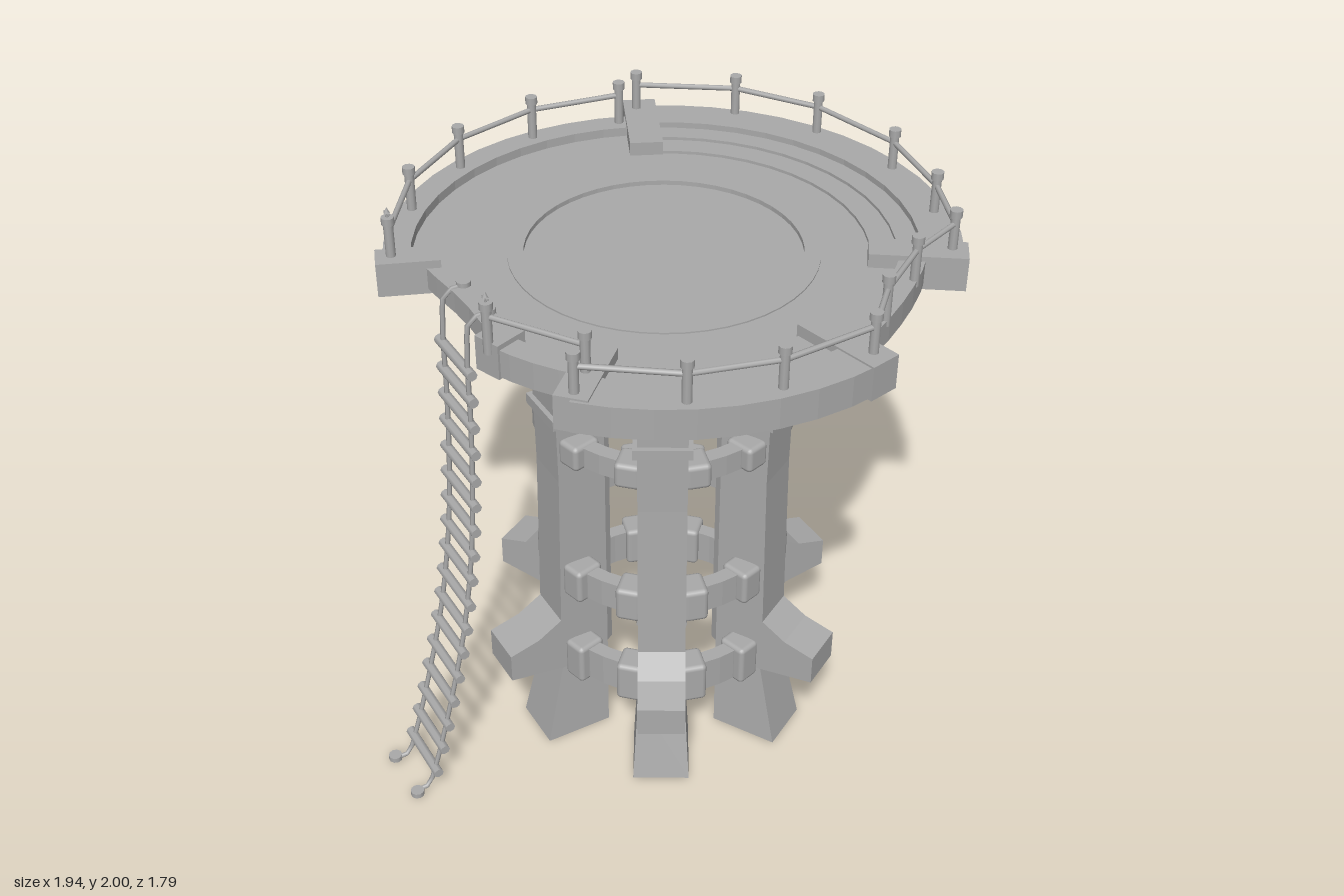
import * as THREE from 'three';
import { RoundedBoxGeometry } from 'three/addons/geometries/RoundedBoxGeometry.js';

const rad = THREE.MathUtils.degToRad;
const stone = new THREE.MeshStandardMaterial({ color: 0xaaaaaa, side: THREE.DoubleSide });
stone.name = 'grey stone';

function add(parent, name, geo, x = 0, y = 0, z = 0) {
  const m = new THREE.Mesh(geo, stone);
  m.name = name;
  m.position.set(x, y, z);
  parent.add(m);
  return m;
}

// Flat-shaded loft through rectangular sections [y, inner radius, outer radius, half width]
function loft(rows) {
  const pos = [], idx = [];
  for (const [y, a, b, h] of rows) pos.push(a, y, -h, b, y, -h, b, y, h, a, y, h);
  for (let r = 0; r < rows.length - 1; r++) for (let k = 0; k < 4; k++) {
    const a = r * 4 + k, d = r * 4 + (k + 1) % 4;
    idx.push(a, a + 4, d + 4, a, d + 4, d);
  }
  let g = new THREE.BufferGeometry();
  g.setAttribute('position', new THREE.Float32BufferAttribute(pos, 3));
  g.setIndex(idx);
  g = g.toNonIndexed();
  g.computeVertexNormals();
  return g;
}

// Curved slab between two radii (numbers or functions of 0..1)
function slab(parent, name, r0, r1, a0, a1, y0, y1) {
  const at = (r, t) => (typeof r === 'function' ? r(t) : r);
  const n = Math.max(4, Math.round((a1 - a0) / 7.5)), pts = [];
  const put = (r, t) => {
    const a = rad(a0 + (a1 - a0) * t);
    pts.push(new THREE.Vector2(at(r, t) * Math.cos(a), at(r, t) * Math.sin(a)));
  };
  for (let i = 0; i <= n; i++) put(r1, i / n);
  for (let i = n; i >= 0; i--) put(r0, i / n);
  const g = new THREE.ExtrudeGeometry(new THREE.Shape(pts), { depth: y1 - y0, bevelEnabled: false });
  g.rotateX(Math.PI / 2);
  return add(parent, name, g, 0, y1, 0);
}

// Thin straight rod between two points
function rod(parent, name, a, b, r) {
  const d = b.clone().sub(a);
  const m = add(parent, name, new THREE.CylinderGeometry(r, r, d.length(), 8));
  m.position.copy(a).addScaledVector(d, 0.5);
  m.quaternion.setFromUnitVectors(new THREE.Vector3(0, 1, 0), d.normalize());
  return m;
}

function buildPillars(root) {
  const body = loft([
    [0, 0.27, 0.505, 0.095], [0.305, 0.26, 0.435, 0.078], [0.334, 0.26, 0.626, 0.078],
    [0.44, 0.26, 0.626, 0.078], [0.468, 0.26, 0.52, 0.078], [0.52, 0.26, 0.435, 0.078],
    [1.1, 0.26, 0.425, 0.078], [1.58, 0.26, 0.432, 0.078]]);
  // [centre height, pad height] of each row of links
  const bands = [[1.46, 0.145], [1.22, 0.09], [0.695, 0.125], [0.35, 0.15]];
  for (let i = 0; i < 6; i++) {
    const p = new THREE.Group();
    p.name = 'pillar';
    p.rotation.y = -rad(60 * i);
    root.add(p);
    add(p, 'pillarBody', body);
    add(p, 'pillarCollar', new THREE.BoxGeometry(0.2, 0.036, 0.185), 0.345, 1.333, 0);
    add(p, 'pillarCapital', new THREE.BoxGeometry(0.275, 0.12, 0.156), 0.3975, 1.64, 0);

    const link = new THREE.Group();
    link.name = 'linkBetweenPillars';
    link.rotation.y = -rad(60 * i + 30);
    root.add(link);
    for (const [y, h] of bands) {
      slab(link, 'strap', 0.345, 0.395, -16, 16, y - h * 0.41, y + h * 0.41);
      for (const s of [-1, 1]) {
        const pad = add(link, 'strapPad', new RoundedBoxGeometry(0.105, h, 0.085, 2, 0.016), 0.362, y, s * 0.094);
        pad.rotation.y = -s * rad(16);
      }
    }
  }
}

function buildPlatform(root) {
  const dip = (a, b, d) => t => a + (b - a) * t - d * Math.sin(Math.PI * t);
  const notch = dip(0.725, 0.745, 0.06), bay = dip(0.8, 0.8, 0.025);
  const less = (f, d) => t => f(t) - d;
  slab(root, 'supportRing', 0.4, 0.52, 0, 360, 1.665, 1.75);

  // Floor: recessed centre, narrow ring, then sections out to the rim
  add(root, 'centreFloor', new THREE.CylinderGeometry(0.44, 0.44, 0.035, 24), 0, 1.7625, 0);
  slab(root, 'floorRing', 0.43, 0.48, 0, 360, 1.745, 1.795);
  const floors = [[201, 295, 0.8], [295, 395, 0.82], [35, 78, bay], [78, 136, 0.82], [136, 160, 0.76], [160, 201, notch]];
  for (const [a, b, r] of floors) slab(root, 'floor', 0.47, r, a, b, 1.745, 1.79);

  // Raised rims and low terraces
  slab(root, 'backRim', 0.77, 0.855, 201, 292, 1.73, 1.82);
  for (const [a, b] of [[295, 395], [78, 136]]) {
    slab(root, 'rim', 0.78, 0.91, a, b, 1.73, 1.83);
    slab(root, 'lowerTerrace', 0.63, 0.72, a, b, 1.77, 1.8);
    slab(root, 'upperTerrace', 0.71, 0.79, a, b, 1.77, 1.81);
  }
  slab(root, 'bayRim', less(bay, 0.08), bay, 35, 78, 1.74, 1.82);
  slab(root, 'sideRim', 0.69, 0.765, 136, 160, 1.73, 1.82);
  slab(root, 'notchCurb', less(notch, 0.06), notch, 160, 201, 1.74, 1.81);

  // Radial beams at the section ends: [angle, inner radius, outer radius, width]
  const beams = [[294.5, 0.62, 0.945, 0.11], [35, 0.62, 0.92, 0.1], [78, 0.62, 0.915, 0.1],
    [136, 0.63, 0.9, 0.1], [160, 0.66, 0.77, 0.09], [201, 0.68, 0.875, 0.09]];
  for (const [a, r0, r1, w] of beams) {
    const m = add(root, 'beam', new THREE.BoxGeometry(r1 - r0, 0.112, w));
    m.position.set(Math.cos(rad(a)) * (r0 + r1) / 2, 1.78, Math.sin(rad(a)) * (r0 + r1) / 2);
    m.rotation.y = -rad(a);
  }
}

function buildRailing(root) {
  const runs = [
    [[-0.71, -0.32], [-0.53, -0.58], [-0.28, -0.76], [0.02, -0.835], [0.325, -0.79]],
    [[0.415, -0.83], [0.695, -0.64], [0.86, -0.385], [0.93, -0.05], [0.875, 0.25], [0.78, 0.47],
      [0.59, 0.54], [0.39, 0.675], [0.245, 0.82], [-0.06, 0.835], [-0.32, 0.765], [-0.565, 0.585]],
    [[-0.49, 0.51], [-0.66, 0.25]]];
  for (const run of runs) {
    const pts = run.map(([x, z]) => new THREE.Vector3(x - 0.06, 1.92, z + 0.02));
    pts.forEach((p, i) => {
      add(root, 'railPost', new THREE.CylinderGeometry(0.015, 0.015, 0.16, 10), p.x, 1.88, p.z);
      add(root, 'postCap', new THREE.CylinderGeometry(0.02, 0.02, 0.024, 10), p.x, 1.955, p.z);
      if (i) rod(root, 'rail', pts[i - 1], p, 0.009);
    });
  }
  // Small finials on the posts beside the ladder
  for (const [x, z] of [[-0.77, -0.3], [-0.72, 0.27]]) {
    add(root, 'finialStem', new THREE.CylinderGeometry(0.004, 0.004, 0.03, 6), x, 1.975, z);
    add(root, 'finialTip', new THREE.ConeGeometry(0.01, 0.02, 6), x, 1.99, z);
    add(root, 'finialBar', new THREE.BoxGeometry(0.008, 0.006, 0.03), x, 1.98, z);
  }
}

function buildLadder(root) {
  const path = [[-0.575, 1.81], [-0.635, 1.8], [-0.65, 1.7], [-0.655, 1.45], [-0.665, 1.2], [-0.685, 0.95],
    [-0.73, 0.65], [-0.8, 0.35], [-0.875, 0.09], [-0.905, 0.02], [-0.95, 0.015]];
  const curve = new THREE.CatmullRomCurve3(path.map(([x, y]) => new THREE.Vector3(x - 0.06, y, 0)));
  for (const z of [-0.08, 0.092]) {
    add(root, 'ladderRope', new THREE.TubeGeometry(curve, 48, 0.008, 6), 0, 0, z);
    add(root, 'topPeg', new THREE.CylinderGeometry(0.022, 0.022, 0.05, 10), -0.635, 1.8, z);
    add(root, 'groundPeg', new THREE.CylinderGeometry(0.023, 0.023, 0.018, 10), -1.01, 0.016, z * 1.1);
  }
  // Rungs at even heights along the ropes
  const samples = curve.getSpacedPoints(400);
  for (let i = 0; i < 17; i++) {
    const y = 0.085 + i * 0.0965;
    const p = samples.reduce((a, b) => (Math.abs(b.y - y) < Math.abs(a.y - y) ? b : a));
    const rung = add(root, 'rung', new THREE.CylinderGeometry(0.017, 0.017, 0.235, 8), p.x, p.y, 0.006);
    rung.rotation.x = Math.PI / 2;
  }
}

export function createModel() {
  const model = new THREE.Group();
  model.name = 'lookoutTower';
  const root = new THREE.Group();
  root.name = 'tower';
  root.position.set(0.06, 0, -0.02);
  model.add(root);
  buildPillars(root);
  buildPlatform(root);
  buildRailing(root);
  buildLadder(root);
  return model;
}
